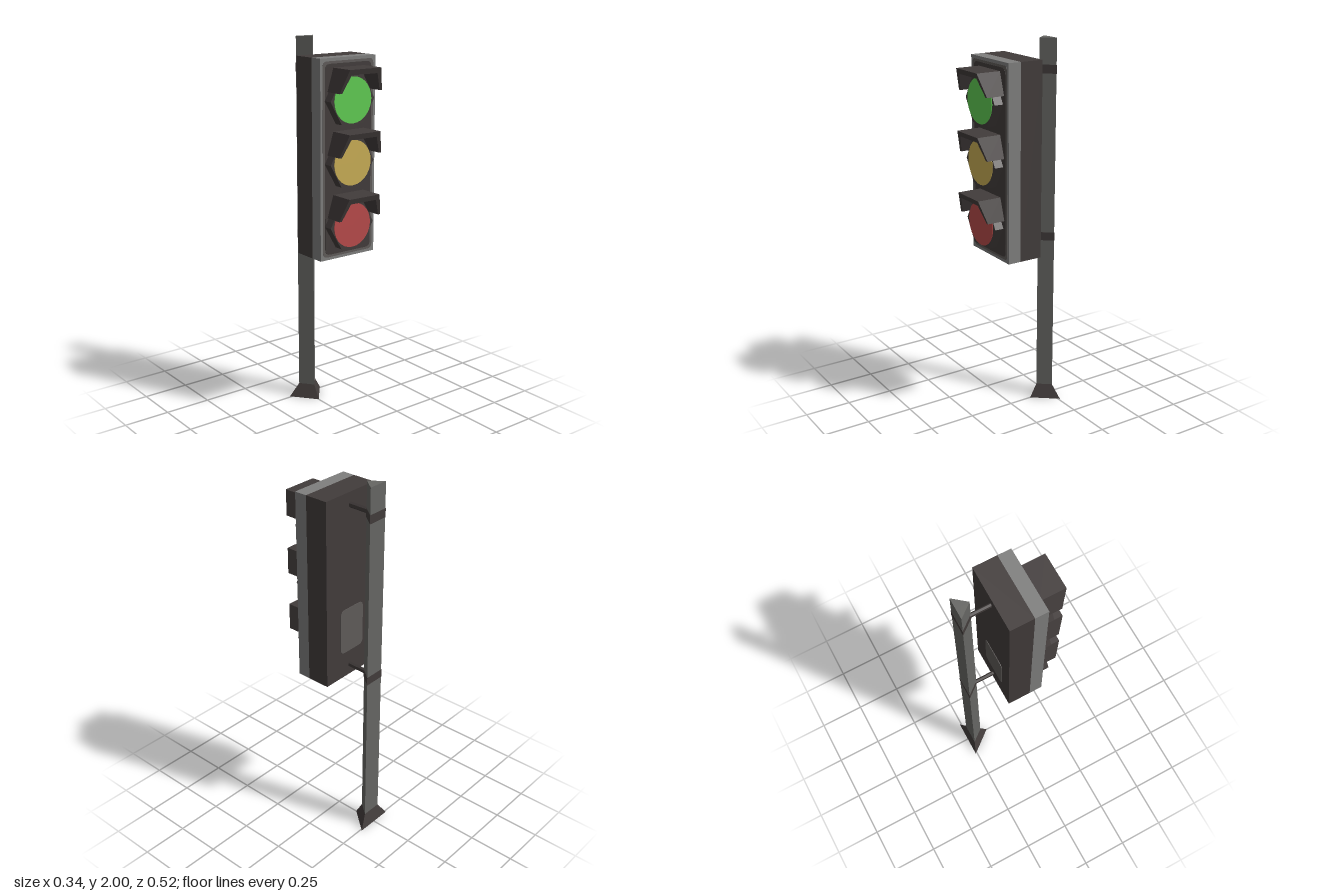
import * as THREE from 'three';

const mat = (name, color) => Object.assign(new THREE.MeshStandardMaterial({ color }), { name });

export function createModel() {
  const root = new THREE.Group();
  root.name = 'trafficLight';

  const dark = mat('darkHousing', 0x423c3b);
  const steel = mat('poleSteel', 0x666663);
  const grey = mat('rimGrey', 0x7f7f7e);
  const trim = mat('trimGrey', 0x5f5b59);
  const green = mat('greenLens', 0x60cc52);
  const amber = mat('amberLens', 0xc9ae55);
  const red = mat('redLens', 0xb84b4a);

  // Facets every geometry so that the low-poly edges stay sharp
  function add(name, geometry, material, x = 0, y = 0, z = 0, parent = root) {
    const g = geometry.index ? geometry.toNonIndexed() : geometry;
    g.computeVertexNormals();
    const mesh = new THREE.Mesh(g, material);
    mesh.name = name;
    mesh.position.set(x, y, z);
    parent.add(mesh);
    return mesh;
  }

  // Triangular prism standing on y0, with one edge towards the front
  function prism(name, y0, y1, halfWidth, depth, material, taper = 1) {
    const g = new THREE.CylinderGeometry(taper, 1, y1 - y0, 3);
    g.scale(halfWidth / 0.866, 1, depth / 1.5);
    return add(name, g, material, 0, (y0 + y1) / 2, -0.2155);
  }

  function roundedPlate(w, h, r, depth) {
    const s = new THREE.Shape();
    const x = w / 2, y = h / 2;
    s.moveTo(-x + r, -y);
    s.lineTo(x - r, -y).quadraticCurveTo(x, -y, x, -y + r);
    s.lineTo(x, y - r).quadraticCurveTo(x, y, x - r, y);
    s.lineTo(-x + r, y).quadraticCurveTo(-x, y, -x, y - r);
    s.lineTo(-x, -y + r).quadraticCurveTo(-x, -y, -x + r, -y);
    return new THREE.ExtrudeGeometry(s, { depth, bevelEnabled: false, curveSegments: 4 });
  }

  // Pole and flared foot
  prism('poleFoot', 0, 0.075, 0.105, 0.13, dark, 0.524);
  prism('pole', 0.07, 2, 0.055, 0.068, steel);

  // Clamps around the pole and struts to the housing
  for (const y of [0.965, 1.855]) {
    prism('poleClamp', y - 0.035, y + 0.01, 0.057, 0.071, dark);
    const strut = new THREE.CylinderGeometry(1, 1, 0.12, 6);
    strut.rotateX(Math.PI / 2).scale(0.01, 0.016, 1);
    add('strut', strut, dark, 0, y, -0.122);
  }

  // Housing: dark rear box and grey front rim
  add('housing', new THREE.BoxGeometry(0.344, 1.015, 0.125), dark, 0, 1.4125, -0.0075);
  add('rim', new THREE.BoxGeometry(0.344, 1.015, 0.07), grey, 0, 1.4125, 0.09);
  add('rimTrim', roundedPlate(0.316, 0.985, 0.025, 0.002), trim, 0, 1.4125, 0.124);
  add('facePlate', roundedPlate(0.29, 0.96, 0.03, 0.003), dark, 0, 1.4125, 0.124);
  add('rearHatch', roundedPlate(0.17, 0.25, 0.03, 0.004), trim, -0.015, 1.175, -0.073);
  add('bottomPlate', new THREE.BoxGeometry(0.3, 0.003, 0.09), trim, 0, 0.905, 0.01);

  // Hood: open half-hexagon, its front edge sloping back towards the bottom
  function hoodGeometry() {
    const s = new THREE.Shape([
      [-0.132, 0], [-0.117, 0], [-0.08, 0.088], [0.08, 0.088], [0.117, 0], [0.132, 0],
      [0.096, 0.115], [-0.096, 0.115],
    ].map(([x, y]) => new THREE.Vector2(x, y)));
    const g = new THREE.ExtrudeGeometry(s, { depth: 0.133, bevelEnabled: false });
    const p = g.attributes.position;
    for (let i = 0; i < p.count; i++) {
      if (p.getZ(i) > 0.1) p.setZ(i, 0.098 + 0.035 * p.getY(i) / 0.115);
    }
    return g;
  }

  // Three lamps
  [['greenLamp', 1.715, green], ['amberLamp', 1.403, amber], ['redLamp', 1.083, red]]
    .forEach(([name, y, lens]) => {
      const lamp = new THREE.Group();
      lamp.name = name;
      lamp.position.set(0, y, 0.125);
      root.add(lamp);
      const body = new THREE.CylinderGeometry(0.136, 0.136, 0.05, 6);
      body.rotateX(Math.PI / 2).rotateZ(Math.PI / 2);
      // points of the hexagon lie left and right
      body.computeBoundingBox();
      if (body.boundingBox.max.y > 0.13) body.rotateZ(Math.PI / 6);
      add('lampBody', body, dark, -0.011, 0, 0.025, lamp);
      const disc = new THREE.CylinderGeometry(0.115, 0.115, 0.004, 28);
      disc.rotateX(Math.PI / 2);
      add('lens', disc, lens, -0.011, 0, 0.051, lamp);
      add('hood', hoodGeometry(), dark, 0.002, 0.043, 0, lamp);
    });

  return root;
}
